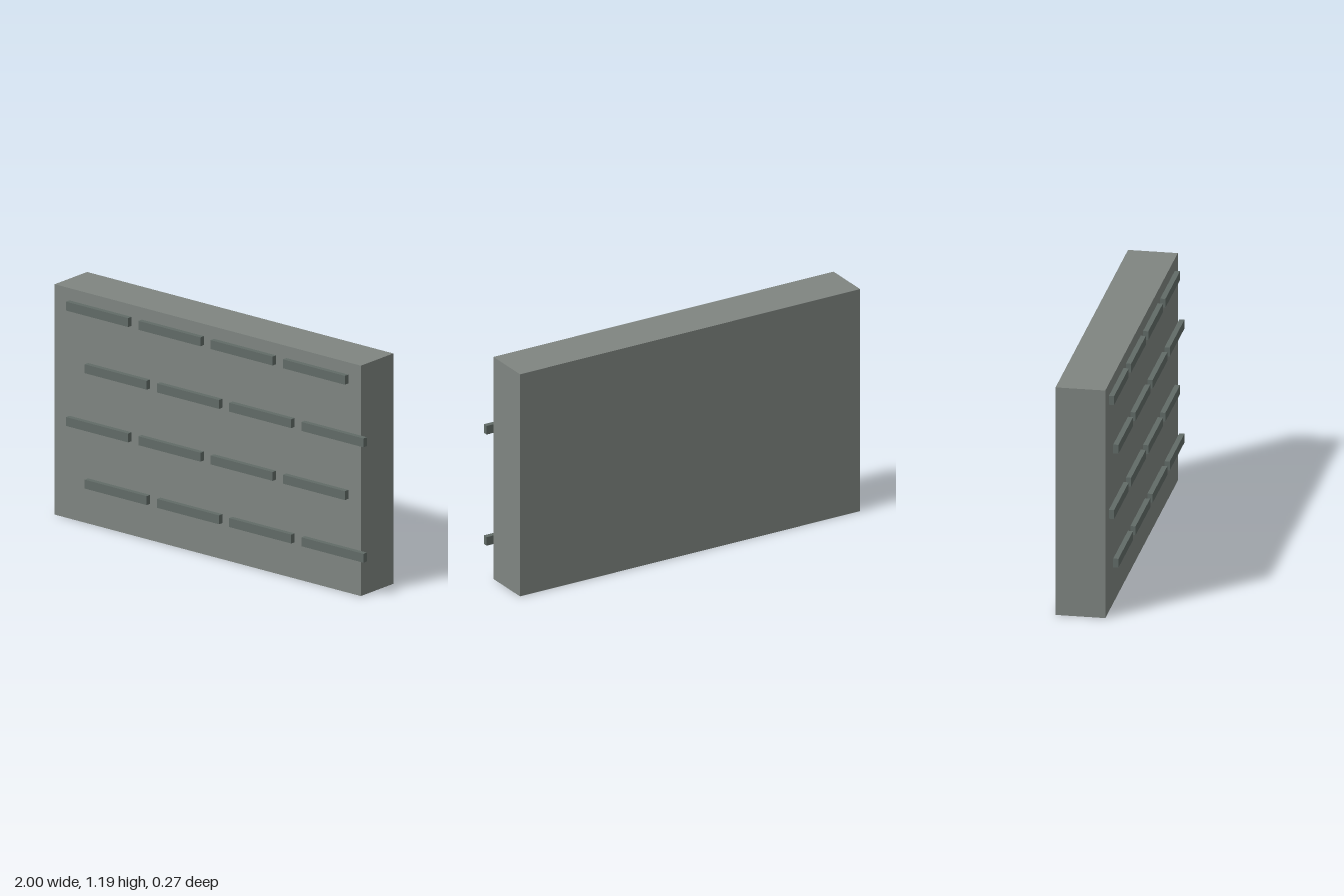
import * as THREE from 'three';

export function createModel() {
  const group = new THREE.Group();
  const wallMaterial = new THREE.MeshStandardMaterial({ color: 0x7f8581 });
  const slatMaterial = new THREE.MeshStandardMaterial({ color: 0x616b67 });

  // Thick wall slab
  const wall = new THREE.Mesh(new THREE.BoxGeometry(1.96, 1.19, 0.248), wallMaterial);
  wall.name = 'wall';
  wall.position.set(-0.02, 0.595, -0.013);
  group.add(wall);

  // Staggered rows of raised slats on the front face
  const slatGeometry = new THREE.BoxGeometry(0.397, 0.046, 0.026);
  for (let row = 0; row < 4; row++) {
    const slatRow = new THREE.Group();
    slatRow.name = `slatRow${row + 1}`;
    const startX = row % 2 === 0 ? -0.587 : -0.706;
    for (let i = 0; i < 4; i++) {
      const slat = new THREE.Mesh(slatGeometry, slatMaterial);
      slat.name = 'slat';
      slat.position.set(startX + i * 0.4625, 0.21 + row * 0.298, 0.124);
      slatRow.add(slat);
    }
    group.add(slatRow);
  }
  return group;
}
